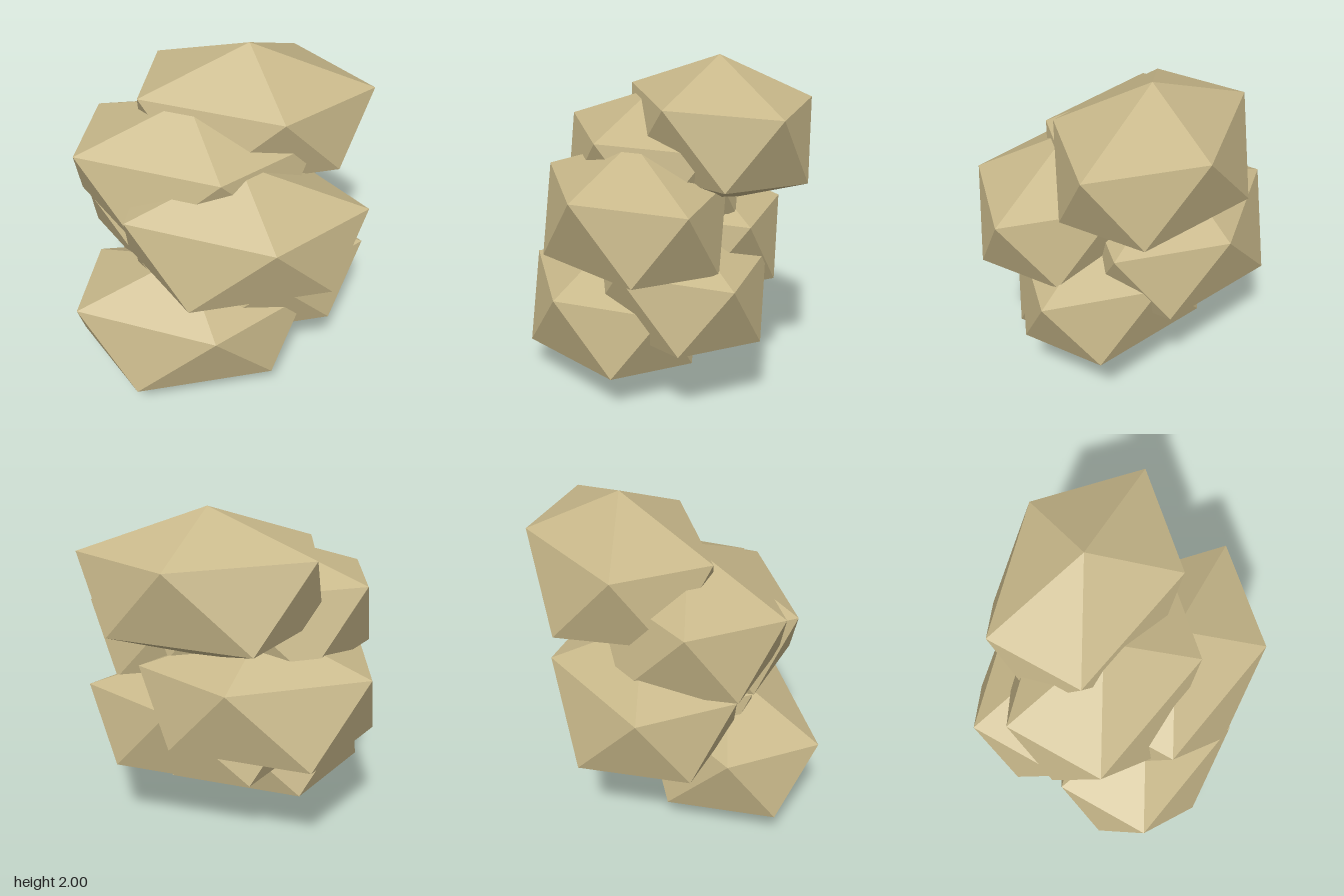
import * as THREE from 'three';

// One faceted boulder: apex, two five-sided rings and a foot, measured from the apex
function boulderGeometry() {
  const apex = [0, 0, 0], foot = [0, -0.87, 0];
  const upper = [[0.72, -0.245, 0], [0.24, -0.24, 0.475], [-0.6, -0.235, 0.29], [-0.575, -0.235, -0.285], [0.24, -0.24, -0.475]];
  const lower = [[0.55, -0.65, 0.25], [-0.23, -0.68, 0.475], [-0.647, -0.65, 0], [-0.23, -0.69, -0.5], [0.55, -0.655, -0.27]];
  const corners = [];
  for (let i = 0; i < 5; i++) {
    const j = (i + 1) % 5;
    corners.push(
      apex, upper[j], upper[i],      // cap
      upper[j], lower[i], upper[i],  // side, pointing down
      upper[j], lower[j], lower[i],  // side, pointing up
      foot, lower[i], lower[j]       // underside
    );
  }
  const geometry = new THREE.BufferGeometry();
  geometry.setAttribute('position', new THREE.Float32BufferAttribute(corners.flat(), 3));
  geometry.computeVertexNormals();
  return geometry;
}

export function createModel() {
  const model = new THREE.Group();
  model.name = 'boulderStack';
  const stone = new THREE.MeshStandardMaterial({ color: 0xc8b88a });
  stone.name = 'sandstone';
  stone.flatShading = true;
  const geometry = boulderGeometry();

  // Six equal boulders, stepping left and right, and back to front, on the way down
  for (let i = 0; i < 6; i++) {
    const boulder = new THREE.Mesh(geometry, stone);
    boulder.name = `boulder${i + 1}`;
    boulder.position.set(i % 2 ? -0.198 : 0.122, 2 - i * 0.226, -0.262 + (i % 3) * 0.274);
    model.add(boulder);
  }
  return model;
}
